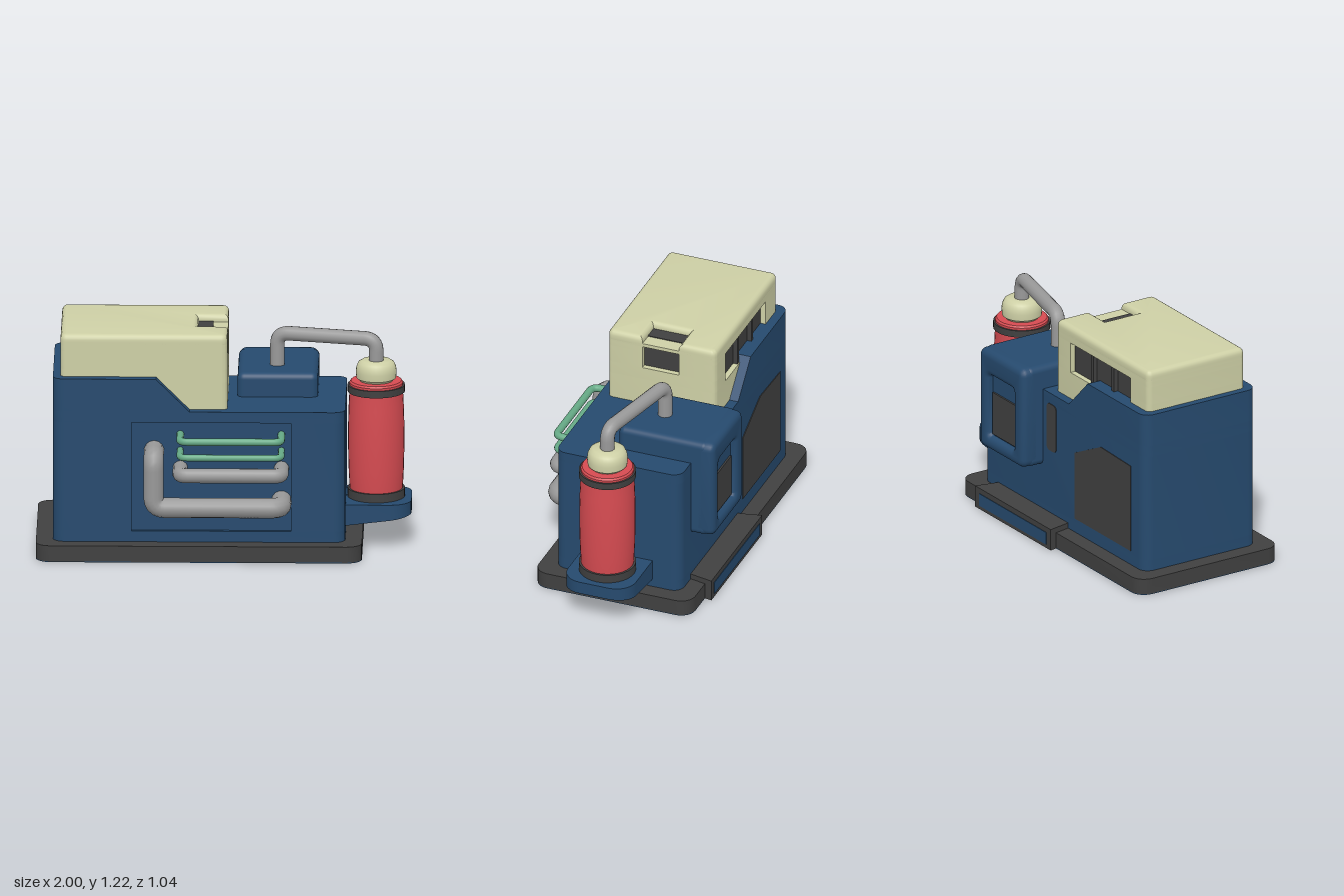
import * as THREE from 'three';
import { toCreasedNormals } from 'three/addons/utils/BufferGeometryUtils.js';
import { RoundedBoxGeometry } from 'three/addons/geometries/RoundedBoxGeometry.js';

const mat = (color) => new THREE.MeshStandardMaterial({ color });

// Closed outline from [x, y, cornerRadius] points
function outline(points, Type = THREE.Shape) {
  const s = new Type();
  const n = points.length;
  points.forEach(([x, y, r = 0], i) => {
    const p = new THREE.Vector2(x, y);
    const toward = (q) => p.clone().add(new THREE.Vector2(q[0] - x, q[1] - y).setLength(r));
    const a = toward(points[(i + n - 1) % n]);
    const b = toward(points[(i + 1) % n]);
    if (i === 0) s.moveTo(a.x, a.y); else s.lineTo(a.x, a.y);
    if (r > 0) {
      const k = 0.55;
      const c1 = a.clone().lerp(p, k), c2 = b.clone().lerp(p, k);
      s.bezierCurveTo(c1.x, c1.y, c2.x, c2.y, b.x, b.y);
    }
  });
  s.closePath();
  return s;
}

const rect = (x0, y0, x1, y1, r = 0) => [[x0, y0, r], [x1, y0, r], [x1, y1, r], [x0, y1, r]];

// Extrusion in z from z0 to z1, with an optional rounded rim
function extrudeZ(shape, z0, z1, bevel = 0) {
  const g = new THREE.ExtrudeGeometry(shape, {
    depth: z1 - z0 - 2 * bevel, curveSegments: 6, bevelEnabled: bevel > 0,
    bevelThickness: bevel, bevelSize: bevel, bevelOffset: -bevel, bevelSegments: 4,
  });
  g.translate(0, 0, z0 + bevel);
  return toCreasedNormals(g, 0.6);
}

// Plan outline (x, z) raised from y0 to y1
const slab = (points, y0, y1, bevel = 0) =>
  extrudeZ(outline(points), -y1, -y0, bevel).rotateX(Math.PI / 2);

// Round pipe along corner points, each corner filleted
function pipe(points, radius, bend) {
  const v = points.map((p) => new THREE.Vector3(...p));
  const path = new THREE.CurvePath();
  let last = v[0];
  for (let i = 1; i < v.length - 1; i++) {
    const a = v[i].clone().add(v[i - 1].clone().sub(v[i]).setLength(bend));
    const b = v[i].clone().add(v[i + 1].clone().sub(v[i]).setLength(bend));
    path.add(new THREE.LineCurve3(last, a));
    path.add(new THREE.QuadraticBezierCurve3(a, v[i], b));
    last = b;
  }
  path.add(new THREE.LineCurve3(last, v[v.length - 1]));
  return new THREE.TubeGeometry(path, 72, radius, 14);
}

export function createModel() {
  const model = new THREE.Group();
  const blue = mat(0x264a6e), dark = mat(0x404040), cream = mat(0xced0a6);
  const red = mat(0xd64b51), grey = mat(0x999999), green = mat(0x66aa86);
  const add = (name, geometry, material) => {
    const m = new THREE.Mesh(geometry, material);
    m.name = name;
    model.add(m);
    return m;
  };
  const box = (name, x0, x1, y0, y1, z0, z1, material) =>
    add(name, new THREE.BoxGeometry(x1 - x0, y1 - y0, z1 - z0)
      .translate((x0 + x1) / 2, (y0 + y1) / 2, (z0 + z1) / 2), material);

  // Base plate with a blue underside and a rear step
  const basePlan = rect(-1, -0.48, 0.74, 0.42, 0.08);
  add('basePlate', slab(basePlan, 0.004, 0.09), dark);
  add('baseUnderside', slab(basePlan, 0, 0.004), blue);
  add('rearStep', slab([[-0.17, -0.38], [-0.2, -0.52], [0.53, -0.52], [0.5, -0.38]], 0, 0.12), dark);
  box('rearStepPanel', -0.16, 0.49, 0.02, 0.09, -0.523, -0.5, blue);

  // Main housing in layers: the middle one carries the shallow front recess
  const [L, R, B, F] = [-0.91, 0.65, -0.39, 0.33];
  const housing = rect(L, B, R, F, 0.06);
  const recessed = [[L, B, 0.06], [R, B, 0.06], [R, F, 0.06], [0.36, F], [0.36, F - 0.02],
    [-0.49, F - 0.02], [-0.49, F], [L, F, 0.06]];
  add('housingBottom', slab(housing, 0.09, 0.15), blue);
  add('housingMiddle', slab(recessed, 0.15, 0.75), blue);
  add('housingTop', slab(housing, 0.75, 0.81), blue);
  add('raisedHousing', slab([[L, B, 0.06], [-0.36, B], [-0.36, F], [L, F, 0.06]], 0.81, 0.99), blue);
  add('housingSlope', extrudeZ(outline([[-0.36, 0.81], [-0.18, 0.81], [-0.36, 0.99]]), B, F), blue);

  // Rear hatch and slot
  add('rearHatch', extrudeZ(outline([[-0.78, 0.17], [-0.24, 0.17], [-0.24, 0.55], [-0.49, 0.67],
    [-0.78, 0.66]]), B - 0.004, B + 0.02), dark);
  add('rearSlot', extrudeZ(outline(rect(-0.06, 0.48, 0.03, 0.75, 0.025)), B - 0.004, B + 0.02), dark);

  // Cream cover in layers, cut for the rear window, side window and top grip
  const [cl, cr, cb, cf, r] = [-0.87, 0.02, -0.34, 0.28, 0.03];
  const coverPlan = (rear, side, depth) => [
    [cl, cb, r],
    ...(rear ? [[-0.7, cb], [-0.7, cb + 0.04], [-0.12, cb + 0.04], [-0.12, cb]] : []),
    [cr, cb, r],
    ...(side ? [[cr, -0.13], [cr - depth, -0.13], [cr - depth, 0.08], [cr, 0.08]] : []),
    [cr, cf, r], [cl, cf, r],
  ];
  [[0.81, 0.96, 0, 0], [0.96, 1.03, 1, 0], [1.03, 1.13, 1, 1], [1.13, 1.16, 0, 1], [1.16, 1.18, 0, 0]]
    .forEach(([y0, y1, rear, side]) => add('cover', slab(coverPlan(rear, side, 0.04), y0, y1), cream));
  add('coverTop', slab(coverPlan(0, 1, 0.16), 1.14, 1.22, 0.028), cream);
  box('rearWindow', -0.7, -0.12, 0.96, 1.13, cb + 0.03, cb + 0.045, dark);
  for (const x of [-0.52, -0.32]) box('rearWindowPost', x - 0.012, x + 0.012, 0.96, 1.13, cb + 0.005, cb + 0.04, dark);
  box('sideWindow', cr - 0.045, cr - 0.03, 1.03, 1.16, -0.13, 0.08, dark);
  box('gripSlot', -0.14, -0.06, 1.17, 1.184, -0.13, 0.08, dark);

  // Rear unit: rounded block and a back plate with a window
  const plate = outline(rect(0.07, 0.37, 0.5, 0.94, 0.045));
  plate.holes.push(outline(rect(0.17, 0.45, 0.41, 0.8, 0.02), THREE.Path));
  add('rearUnit', new RoundedBoxGeometry(0.43, 0.57, 0.515, 4, 0.035).translate(0.285, 0.655, -0.2275), blue);
  add('rearUnitPlate', extrudeZ(plate, -0.52, -0.4, 0.035), blue);
  box('rearUnitWindow', 0.18, 0.4, 0.46, 0.7, -0.495, -0.47, dark);

  // Tank shelf with a sloping underside
  const shelf = slab([[0.6, -0.23], [1, -0.23, 0.11], [1, 0.16, 0.11], [0.6, 0.16]], 0.13, 0.25);
  const pos = shelf.attributes.position;
  for (let i = 0; i < pos.count; i++) {
    if (pos.getY(i) < 0.2) pos.setY(i, 0.13 + Math.max(0, pos.getX(i) - 0.65) * 0.143);
  }
  shelf.computeVertexNormals();
  add('tankShelf', toCreasedNormals(shelf, 0.6), blue);

  // Tank, bands and cap, turned around one axis
  const turned = (name, profile, material) => {
    const g = new THREE.LatheGeometry(profile.map((p) => new THREE.Vector2(...p)), 32);
    add(name, toCreasedNormals(g, 0.6), material).position.set(0.81, 0, -0.035);
  };
  turned('tank', [[0, 0.26], [0.138, 0.26], [0.142, 0.3], [0.147, 0.4], [0.15, 0.52], [0.15, 0.64],
    [0.147, 0.75], [0.143, 0.83], [0.143, 0.88], [0.135, 0.89], [0, 0.89]], red);
  for (const [y0, y1] of [[0.25, 0.297], [0.83, 0.868]]) {
    turned('tankBand', [[0, y0], [0.153, y0], [0.153, y1], [0, y1]], dark);
  }
  turned('tankCap', [[0.085, 0.88], [0.092, 0.895], [0.106, 0.905], [0.109, 0.94], [0.106, 0.965],
    [0.096, 0.988], [0.078, 1], [0, 1]], cream);

  // Pipes: feed line over the top, front loops into the housing
  add('feedPipe', pipe([[0.81, 0.97, -0.035], [0.81, 1.116, -0.035], [0.28, 1.116, -0.155],
    [0.28, 0.9, -0.155]], 0.039, 0.065), grey);
  const zo = 0.465, zi = 0.28;
  add('largeFrontPipe', pipe([[-0.37, 0.592, zi], [-0.37, 0.592, zo], [-0.37, 0.317, zo],
    [0.31, 0.317, zo], [0.31, 0.317, zi]], 0.054, 0.06), grey);
  for (const [name, y, radius, material] of [['smallFrontPipe', 0.495, 0.04, grey],
    ['thinFrontPipe', 0.594, 0.018, green], ['thinFrontPipe', 0.682, 0.02, green]]) {
    add(name, pipe([[-0.23, y, zi], [-0.23, y, zo], [0.31, y, zo], [0.31, y, zi]], radius, 0.045), material);
  }
  return model;
}
